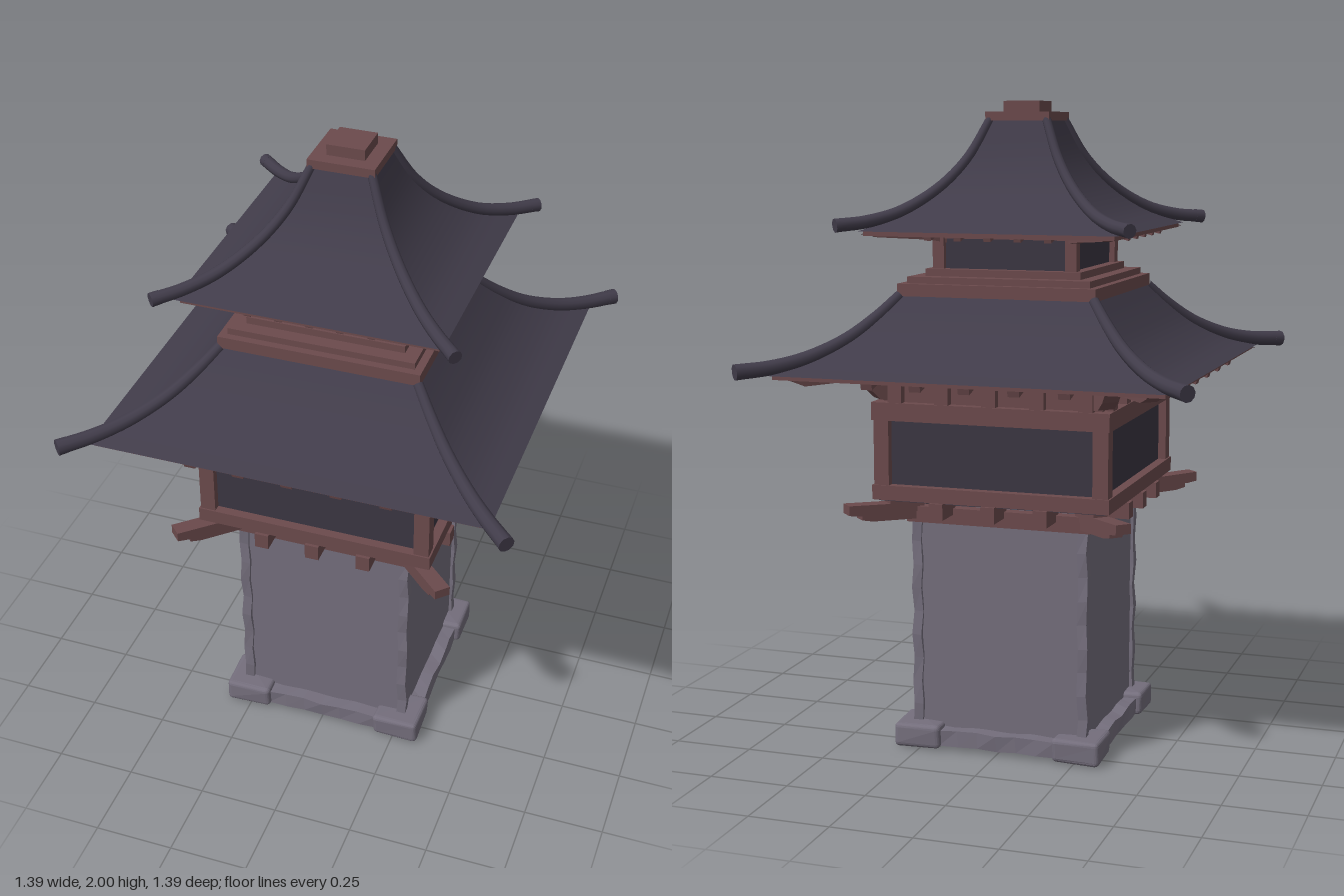
import * as THREE from 'three';
import { RoundedBoxGeometry } from 'three/addons/geometries/RoundedBoxGeometry.js';

const mat = (color, opts = {}) => new THREE.MeshStandardMaterial({ color, ...opts });
const wood = mat(0x6b4a4c);
const tile = mat(0x413c4a);
const panel = mat(0x3b3642);
const stone = mat(0x746e7c, { flatShading: true });
const wallStone = mat(0x746e7c, { side: THREE.DoubleSide });

function add(parent, name, geometry, material, x = 0, y = 0, z = 0) {
  const mesh = new THREE.Mesh(geometry, material);
  mesh.name = name;
  mesh.position.set(x, y, z);
  parent.add(mesh);
  return mesh;
}

// Box given by its lower and upper corners
function block(parent, name, material, x0, x1, y0, y1, z0, z1) {
  return add(parent, name, new THREE.BoxGeometry(x1 - x0, y1 - y0, z1 - z0), material,
    (x0 + x1) / 2, (y0 + y1) / 2, (z0 + z1) / 2);
}

// Square slab centred on the axis
const slab = (parent, name, material, half, y0, y1) =>
  block(parent, name, material, -half, half, y0, y1, -half, half);

// Nudge vertices by a smooth rule, so that hewn stone looks uneven
function hewn(geometry, amount, phase) {
  const p = geometry.attributes.position;
  for (let i = 0; i < p.count; i++) {
    const x = p.getX(i), y = p.getY(i), z = p.getZ(i);
    p.setXYZ(i,
      x + amount * Math.sin(31 * y + 17 * z + phase),
      y + amount * Math.sin(37 * x + 23 * z + phase * 2),
      z + amount * Math.sin(29 * x + 41 * y + phase * 3));
  }
  geometry.computeVertexNormals();
  return geometry;
}

// One curved face of a hipped roof; profile points are (half width, height)
function roofFace(curve, drop, shrink, down) {
  const g = new THREE.PlaneGeometry(2, 1, 1, 14);
  const p = g.attributes.position;
  for (let i = 0; i < p.count; i++) {
    const q = curve.getPoint(p.getY(i) + 0.5);
    const r = q.x - shrink;
    p.setXYZ(i, p.getX(i) * r, q.y - drop, r);
  }
  if (down) g.index.array.reverse();
  g.computeVertexNormals();
  return g;
}

// Ridge tube along the diagonal, thickening toward its outer end
function ridge(parent, points, radius) {
  const path = new THREE.CatmullRomCurve3(points.map(([r, y]) => new THREE.Vector3(r, y, r)));
  const rings = 24, sides = 10;
  const g = new THREE.TubeGeometry(path, rings, radius, sides);
  const p = g.attributes.position, v = new THREE.Vector3();
  for (let i = 0; i < p.count; i++) {
    const t = Math.floor(i / (sides + 1)) / rings;
    const c = path.getPointAt(t);
    v.fromBufferAttribute(p, i).sub(c).multiplyScalar(0.8 + 0.4 * t).add(c);
    p.setXYZ(i, v.x, v.y, v.z);
  }
  add(parent, 'ridge', g, tile);
  const end = path.getPointAt(1);
  const cap = add(parent, 'ridgeEnd', new THREE.CylinderGeometry(radius * 1.25, radius * 1.2, 0.03, sides), tile,
    end.x, end.y, end.z);
  cap.quaternion.setFromUnitVectors(new THREE.Vector3(0, 1, 0), path.getTangentAt(1));
}

// Plate standing on the diagonal, outlined by (x, height) points
function diagonalPlate(parent, name, outline, width) {
  const shape = new THREE.Shape(outline.map(([r, y]) => new THREE.Vector2(r * Math.SQRT2, y)));
  const g = new THREE.ExtrudeGeometry(shape, { depth: width, bevelEnabled: false });
  g.translate(0, 0, -width / 2);
  add(parent, name, g, wood).rotation.y = -Math.PI / 4;
}

// Rafter box running from (z0, y0) to (z1, y1)
function rafter(parent, x, z0, y0, z1, y1, width, height) {
  const beam = add(parent, 'rafter', new THREE.BoxGeometry(width, height, Math.hypot(z1 - z0, y1 - y0)), wood,
    x, (y0 + y1) / 2, (z0 + z1) / 2);
  beam.rotation.x = Math.atan2(y0 - y1, z1 - z0);
}

const spline = pts => new THREE.SplineCurve(pts.map(([r, y]) => new THREE.Vector2(r, y)));
const lowerRoof = spline([[0.61, 1.2], [0.52, 1.232], [0.43, 1.29], [0.36, 1.36], [0.31, 1.42]]);
const upperRoof = spline([[0.4, 1.615], [0.3, 1.66], [0.21, 1.735], [0.145, 1.825], [0.095, 1.94]]);

// Everything belonging to one side and the corner next to it
function buildSide(side) {
  // Stone footing and tower wall
  add(side, 'footingCorner', hewn(new RoundedBoxGeometry(0.15, 0.075, 0.15, 2, 0.014), 0.003, 1), stone, 0.257, 0.043, 0.257);
  add(side, 'footingBeam', hewn(new THREE.BoxGeometry(0.38, 0.05, 0.075, 6, 1, 1), 0.003, 2), stone, 0, 0.042, 0.278);
  add(side, 'towerWall', new THREE.PlaneGeometry(0.54, 0.69), wallStone, 0, 0.385, 0.272);
  add(side, 'towerCorner', hewn(new THREE.BoxGeometry(0.03, 0.67, 0.03, 1, 9, 1), 0.003, 3), stone, 0.267, 0.395, 0.267);

  // Balcony frame, joists and stepped corner beams
  block(side, 'balconySill', wood, -0.295, 0.295, 0.72, 0.77, 0.255, 0.295);
  for (const x of [-0.165, 0, 0.165]) block(side, 'joist', wood, x - 0.022, x + 0.022, 0.75, 0.8, 0.27, 0.385);
  diagonalPlate(side, 'cornerBeam', [[0.26, 0.755], [0.41, 0.755], [0.435, 0.76], [0.435, 0.79], [0.34, 0.785], [0.34, 0.8], [0.26, 0.8]], 0.05);
  diagonalPlate(side, 'cornerBeamLower', [[0.26, 0.73], [0.38, 0.735], [0.405, 0.742], [0.405, 0.758], [0.26, 0.758]], 0.045);

  // Main room
  block(side, 'lowerBeam', wood, -0.375, 0.375, 0.8, 0.845, 0.325, 0.375);
  block(side, 'upperBeam', wood, -0.375, 0.375, 1.045, 1.1, 0.325, 0.375);
  block(side, 'cornerPost', wood, 0.322, 0.37, 0.845, 1.045, 0.322, 0.37);
  block(side, 'roomPanel', panel, -0.33, 0.33, 0.84, 1.05, 0.33, 0.345);

  // Bracket zone under the large roof
  block(side, 'bracketWall', wood, -0.345, 0.345, 1.1, 1.33, 0.33, 0.345);
  for (let i = -2; i <= 2; i++) {
    const x = i * 0.15;
    block(side, 'strut', wood, x - 0.022, x + 0.022, 1.1, 1.25, 0.34, 0.372);
    rafter(side, x, 0.34, 1.255, 0.585, 1.185, 0.035, 0.035);
    rafter(side, x * 0.62, 0.2, 1.645, 0.38, 1.602, 0.022, 0.024);
  }
  diagonalPlate(side, 'cornerBracket', [[0.32, 1.1], [0.36, 1.11], [0.378, 1.135], [0.39, 1.165], [0.42, 1.172],
    [0.53, 1.165], [0.555, 1.18], [0.565, 1.2], [0.45, 1.245], [0.32, 1.32]], 0.055);
  diagonalPlate(side, 'upperCornerBracket', [[0.2, 1.575], [0.24, 1.585], [0.36, 1.597], [0.375, 1.612], [0.3, 1.64], [0.2, 1.69]], 0.035);

  // Large roof
  add(side, 'lowerRoof', roofFace(lowerRoof, 0, 0, false), tile);
  add(side, 'lowerRoofUnderside', roofFace(lowerRoof, 0.012, 0.004, true), wood);
  block(side, 'lowerEave', wood, -0.595, 0.595, 1.187, 1.201, 0.57, 0.595);
  ridge(side, [[0.305, 1.42], [0.36, 1.358], [0.43, 1.295], [0.52, 1.245], [0.6, 1.223], [0.665, 1.217]], 0.02);

  // Small upper room
  block(side, 'upperPost', wood, 0.192, 0.228, 1.49, 1.61, 0.192, 0.228);
  block(side, 'upperPanel', panel, -0.2, 0.2, 1.49, 1.59, 0.195, 0.21);
  block(side, 'upperLintel', wood, -0.225, 0.225, 1.588, 1.66, 0.19, 0.222);

  // Small roof
  add(side, 'upperRoof', roofFace(upperRoof, 0, 0, false), tile);
  add(side, 'upperRoofUnderside', roofFace(upperRoof, 0.01, 0.004, true), wood);
  block(side, 'upperEave', wood, -0.388, 0.388, 1.601, 1.615, 0.368, 0.388);
  ridge(side, [[0.09, 1.945], [0.143, 1.83], [0.21, 1.742], [0.3, 1.672], [0.38, 1.643], [0.44, 1.635]], 0.017);
}

export function createModel() {
  const model = new THREE.Group();
  model.name = 'pagodaTower';

  for (let i = 0; i < 4; i++) {
    const side = new THREE.Group();
    side.name = ['frontSide', 'leftSide', 'backSide', 'rightSide'][i];
    side.rotation.y = i * Math.PI / 2;
    buildSide(side);
    model.add(side);
  }

  // Floor, stepped trim between the roofs, and the cap
  slab(model, 'roomFloor', panel, 0.36, 0.795, 0.82);
  slab(model, 'lowerTrim', wood, 0.312, 1.415, 1.455);
  slab(model, 'middleTrim', wood, 0.288, 1.455, 1.475);
  slab(model, 'upperTrim', wood, 0.245, 1.475, 1.497);
  slab(model, 'capPlate', wood, 0.102, 1.94, 1.967);
  slab(model, 'capBlock', wood, 0.058, 1.967, 2);
  return model;
}
